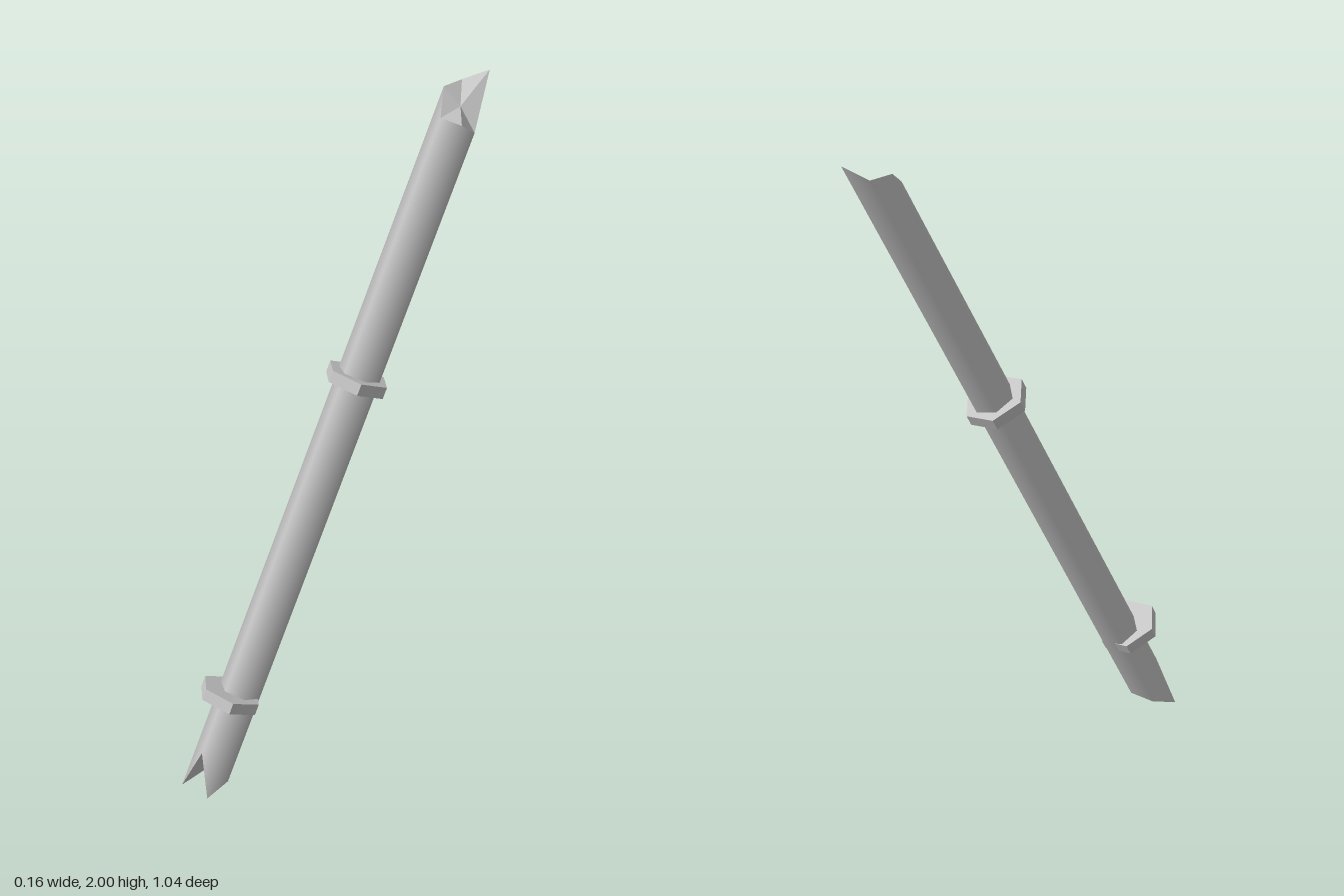
import * as THREE from 'three';

// Leaning hexagonal pole with splintered ends and two hexagonal collars.
const TILT = THREE.MathUtils.degToRad(25);
const TWIST = THREE.MathUtils.degToRad(5);
const RADIUS = 0.061;
const AXIS_Z = 0.44; // pole axis offset in the tilted frame

// Heights of the six corners along the pole, starting at the front, going towards +x
const TOP = [1.88, 1.882, 1.868, 2.032, 1.98, 1.953];
const BOTTOM = [-0.074, -0.197, -0.145, -0.111, -0.148, -0.215];
const TOP_CENTRE = 1.92;
const BOTTOM_CENTRE = -0.12;

function rim(heights) {
  return heights.map((h, i) => {
    const a = TWIST + i * Math.PI / 3;
    return new THREE.Vector3(RADIUS * Math.sin(a), h, RADIUS * Math.cos(a));
  });
}

// Smooth side wall between two jagged rims
function wallGeometry(lower, upper) {
  const n = lower.length;
  const index = [];
  for (let i = 0; i < n; i++) {
    const j = (i + 1) % n;
    index.push(i, j, n + j, i, n + j, n + i);
  }
  const points = [...lower, ...upper];
  const geometry = new THREE.BufferGeometry().setFromPoints(points);
  const normals = points.flatMap(p => new THREE.Vector3(p.x, 0, p.z).normalize().toArray());
  geometry.setAttribute('normal', new THREE.Float32BufferAttribute(normals, 3));
  geometry.setIndex(index);
  return geometry;
}

// Faceted fan from a rim to its centre
function fanGeometry(points, centreHeight, up) {
  const centre = new THREE.Vector3(0, centreHeight, 0);
  const corners = points.flatMap((p, i) => {
    const q = points[(i + 1) % points.length];
    return up ? [centre, p, q] : [centre, q, p];
  });
  const geometry = new THREE.BufferGeometry().setFromPoints(corners);
  geometry.computeVertexNormals();
  return geometry;
}

export function createModel() {
  const grey = new THREE.MeshStandardMaterial({ color: 0xc4c4c4 });
  grey.name = 'grey';

  const model = new THREE.Group();
  model.name = 'leaningPole';
  const tilted = new THREE.Group();
  tilted.name = 'tiltedPole';
  tilted.rotation.x = -TILT;
  tilted.position.set(-0.002, -0.004, 0);
  model.add(tilted);

  const add = (name, geometry, y, z) => {
    const mesh = new THREE.Mesh(geometry, grey);
    mesh.name = name;
    mesh.position.set(0, y, z);
    tilted.add(mesh);
    return mesh;
  };

  // Shaft and its broken ends
  const lower = rim(BOTTOM);
  const upper = rim(TOP);
  add('shaft', wallGeometry(lower, upper), 0, AXIS_Z);
  add('brokenTop', fanGeometry(upper, TOP_CENTRE, true), 0, AXIS_Z);
  add('brokenBottom', fanGeometry(lower, BOTTOM_CENTRE, false), 0, AXIS_Z);

  // Collars, the lower one sitting slightly forward
  const collar = new THREE.CylinderGeometry(0.091, 0.091, 0.034, 6).toNonIndexed();
  collar.computeVertexNormals();
  add('upperCollar', collar, 1.114, 0.443).rotation.y = -TWIST;
  add('lowerCollar', collar, 0.113, 0.471).rotation.y = -TWIST;

  return model;
}
